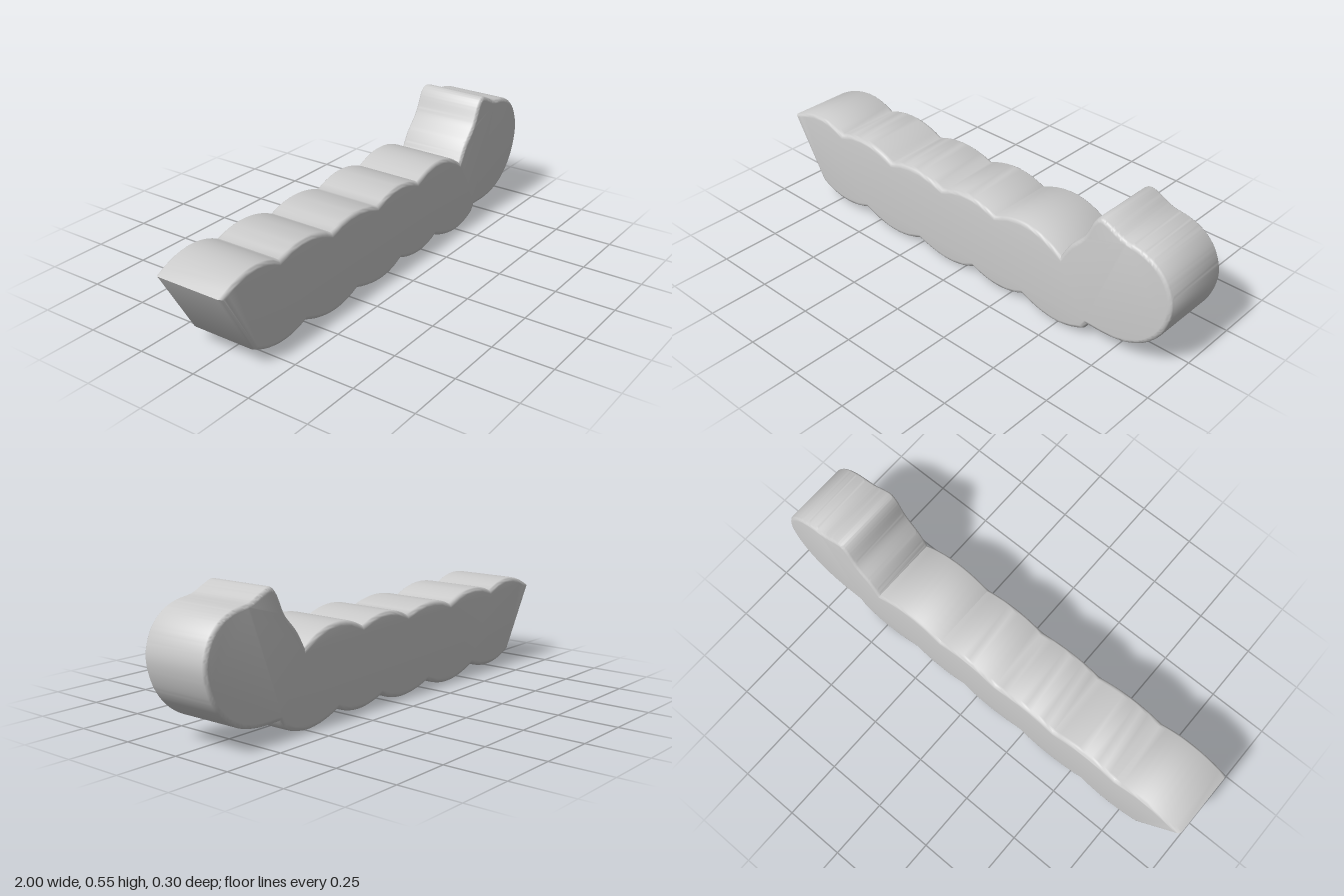
import * as THREE from 'three';
import { toCreasedNormals } from 'three/addons/utils/BufferGeometryUtils.js';

const HALF_DEPTH = 0.15;
const BEVEL = 0.018;

// Adds one rounded body segment: an arc through a peak to the next notch
function addLobe(shape, px, py, x, y) {
  const start = shape.currentPoint;
  shape.quadraticCurveTo(2 * px - (start.x + x) / 2, 2 * py - (start.y + y) / 2, x, y);
}

function createProfile() {
  const shape = new THREE.Shape();
  shape.moveTo(-0.84, 0.068);

  // Scalloped underside, tail to head: peak x, peak y, end x, end y
  const underside = [
    [-0.70, 0.026, -0.555, 0.052],
    [-0.39, 0.009, -0.235, 0.042],
    [-0.07, 0.010, 0.065, 0.045],
    [0.20, 0.016, 0.325, 0.045],
    [0.485, 0.003, 0.625, 0.04],
  ];
  for (const lobe of underside) addLobe(shape, ...lobe);

  // Round head with a small bump on top
  shape.lineTo(0.642, 0.068);
  shape.splineThru([
    [0.74, 0.068], [0.83, 0.086], [0.91, 0.135], [0.97, 0.215], [0.997, 0.32],
    [0.975, 0.41], [0.925, 0.47], [0.86, 0.502], [0.78, 0.517], [0.73, 0.54],
    [0.68, 0.557], [0.645, 0.53], [0.605, 0.45], [0.545, 0.382], [0.505, 0.316],
  ].map(([x, y]) => new THREE.Vector2(x, y)));

  // Scalloped back, head to tail
  const back = [
    [0.345, 0.379, 0.18, 0.342],
    [0.04, 0.374, -0.10, 0.340],
    [-0.25, 0.370, -0.39, 0.342],
    [-0.54, 0.384, -0.69, 0.358],
    [-0.84, 0.393, -1.0, 0.34],
  ];
  for (const lobe of back) addLobe(shape, ...lobe);

  // Slanted flat tail
  shape.closePath();
  return shape;
}

export function createModel() {
  const group = new THREE.Group();
  group.name = 'caterpillar';

  // Body and head form one thick slab with softly rounded edges
  let geometry = new THREE.ExtrudeGeometry(createProfile(), {
    depth: 2 * (HALF_DEPTH - BEVEL),
    bevelEnabled: true,
    bevelThickness: BEVEL,
    bevelSize: BEVEL,
    bevelOffset: -BEVEL,
    bevelSegments: 4,
    curveSegments: 10,
  });
  geometry.translate(0, 0, -(HALF_DEPTH - BEVEL));
  geometry = toCreasedNormals(geometry, 0.8);

  const body = new THREE.Mesh(geometry, new THREE.MeshStandardMaterial({ color: 0xcccccc }));
  body.name = 'bodyAndHead';
  group.add(body);
  return group;
}
